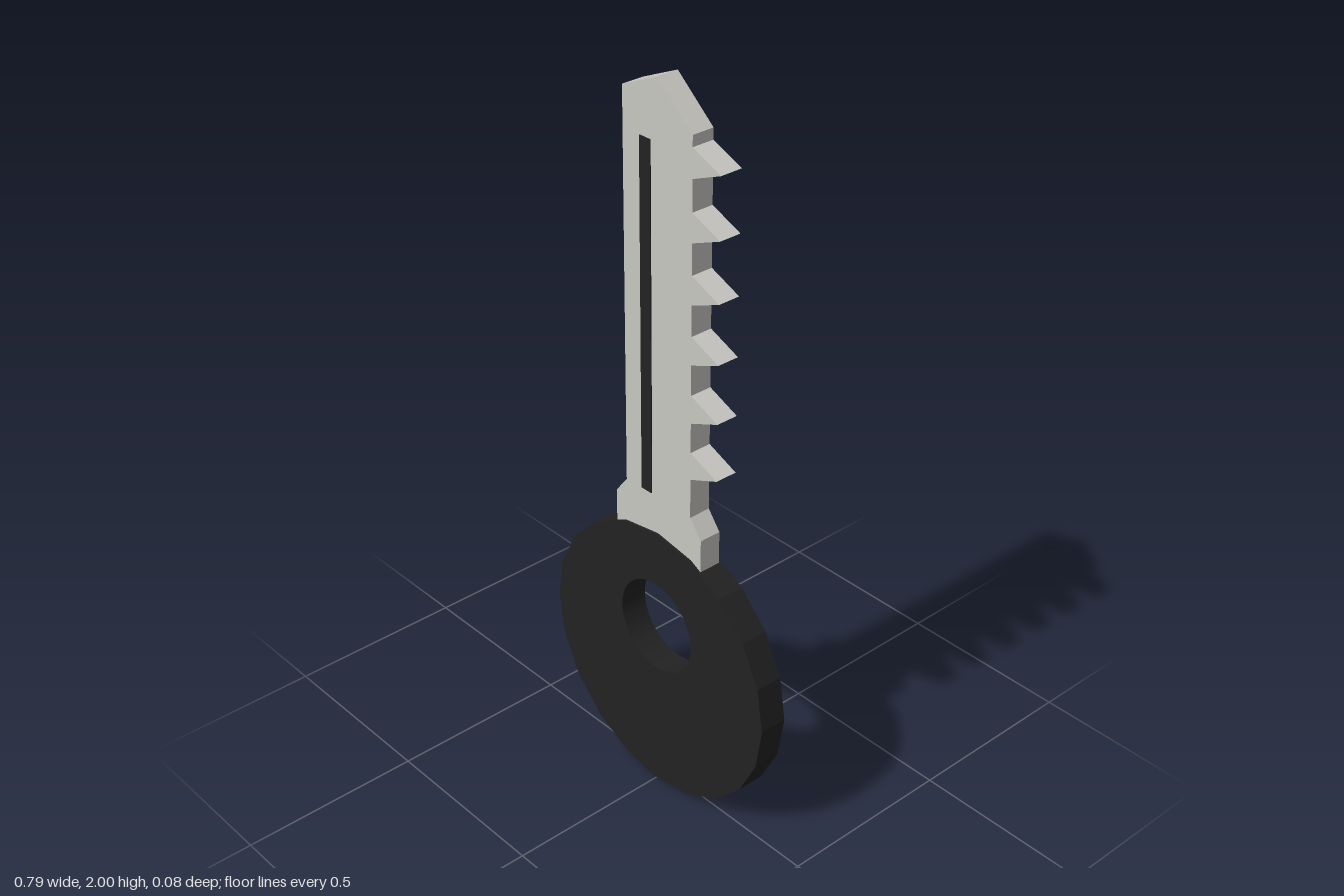
import * as THREE from 'three';

const metal = new THREE.MeshStandardMaterial({ color: 0xc8c7c2 });
metal.name = 'silver metal';
const black = new THREE.MeshStandardMaterial({ color: 0x222222 });
black.name = 'black plastic';

// Flat slab cut from an outline in x/y, centred on z = 0
function slab(name, shape, depth, material, curveSegments = 12) {
  const geometry = new THREE.ExtrudeGeometry(shape, { depth, bevelEnabled: false, curveSegments });
  geometry.translate(0, 0, -depth / 2);
  const mesh = new THREE.Mesh(geometry, material);
  mesh.name = name;
  return mesh;
}

export function createModel() {
  const key = new THREE.Group();
  key.name = 'key';

  // Twenty-sided bow with an off-centre round hole
  const radius = 0.395, sides = 20;
  const rim = [];
  for (let i = 0; i < sides; i++) {
    const a = (i / sides) * Math.PI * 2;
    rim.push(new THREE.Vector2(Math.cos(a) * radius, radius + Math.sin(a) * radius));
  }
  const bow = new THREE.Shape(rim);
  bow.holes.push(new THREE.Path().absarc(0, 0.505, 0.132, 0, Math.PI * 2, true));
  key.add(slab('bow', bow, 0.078, black, 32));

  // Blade outline: shoulder, six teeth up the left edge, pointed tip
  const blade = new THREE.Shape();
  blade.moveTo(-0.157, 0.72);
  blade.lineTo(0.157, 0.72);
  blade.lineTo(0.157, 0.845);
  blade.lineTo(0.118, 0.895);
  for (let i = 0; i < 6; i++) {
    const y = 1.043 + i * 0.158;
    blade.lineTo(0.118, y - 0.038);
    blade.lineTo(0.21, y);
    blade.lineTo(0.118, y + 0.038);
  }
  blade.lineTo(0.118, 1.9);
  blade.lineTo(0, 2);
  blade.lineTo(-0.118, 1.948);
  blade.lineTo(-0.118, 0.895);
  blade.lineTo(-0.157, 0.845);
  key.add(slab('blade', blade, 0.062, metal));

  // Dark groove strip on each face of the blade
  for (const side of [1, -1]) {
    const groove = new THREE.Mesh(new THREE.BoxGeometry(0.037, 0.945, 0.004), black);
    groove.position.set(-0.04, 1.372, side * 0.0315);
    groove.name = side > 0 ? 'frontGroove' : 'backGroove';
    key.add(groove);
  }
  return key;
}
